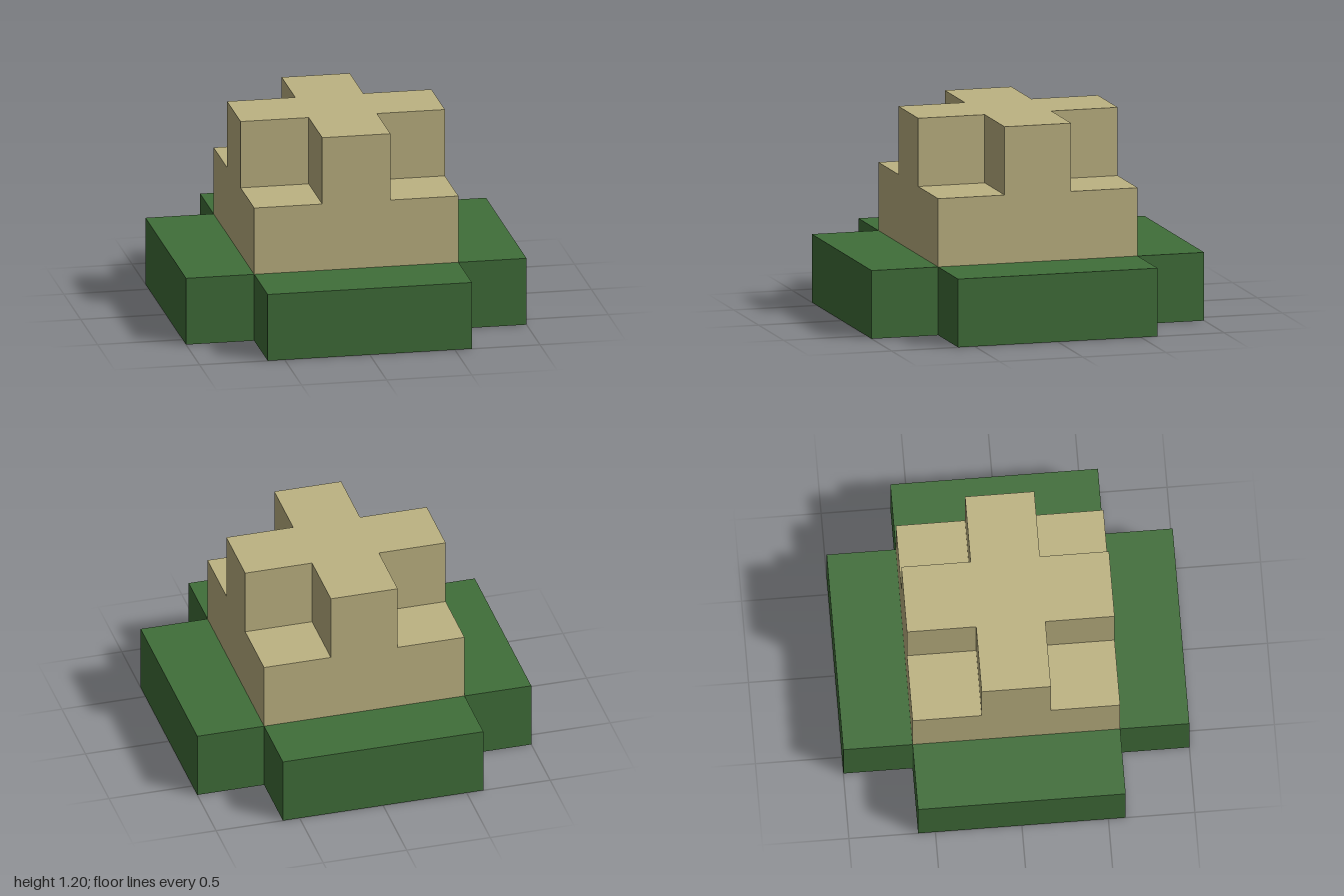
import * as THREE from 'three';

const STEP = 0.4; // height of every tier

// Plus-shaped outline: arms reach `reach`, and are `half` wide to each side
function plusShape(reach, half) {
  const points = [];
  for (let i = 0; i < 4; i++) {
    const c = Math.round(Math.cos(i * Math.PI / 2));
    const s = Math.round(Math.sin(i * Math.PI / 2));
    for (const [x, y] of [[reach, -half], [reach, half], [half, half]]) {
      points.push(new THREE.Vector2(x * c - y * s, x * s + y * c));
    }
  }
  return new THREE.Shape(points);
}

function squareShape(half) {
  return new THREE.Shape([[-half, -half], [half, -half], [half, half], [-half, half]]
    .map(([x, y]) => new THREE.Vector2(x, y)));
}

// One tier: a flat outline raised by STEP, standing on y
function tier(name, shape, y, material) {
  const geometry = new THREE.ExtrudeGeometry(shape, { depth: STEP, bevelEnabled: false });
  geometry.rotateX(-Math.PI / 2);
  const mesh = new THREE.Mesh(geometry, material);
  mesh.name = name;
  mesh.position.y = y;
  return mesh;
}

export function createModel() {
  const green = new THREE.MeshStandardMaterial({ color: 0x406e39 });
  green.name = 'leaf green';
  const tan = new THREE.MeshStandardMaterial({ color: 0xbdb382 });
  tan.name = 'sand tan';

  const model = new THREE.Group();
  model.name = 'steppedBlock';

  // Wide base with a square socket underneath, closed by the middle tier
  const baseShape = plusShape(1, 0.6);
  baseShape.holes.push(squareShape(0.2));

  model.add(
    tier('base', baseShape, 0, green),
    tier('middleBlock', squareShape(0.6), STEP, tan),
    tier('topCross', plusShape(0.6, 0.2), 2 * STEP, tan),
  );
  return model;
}
